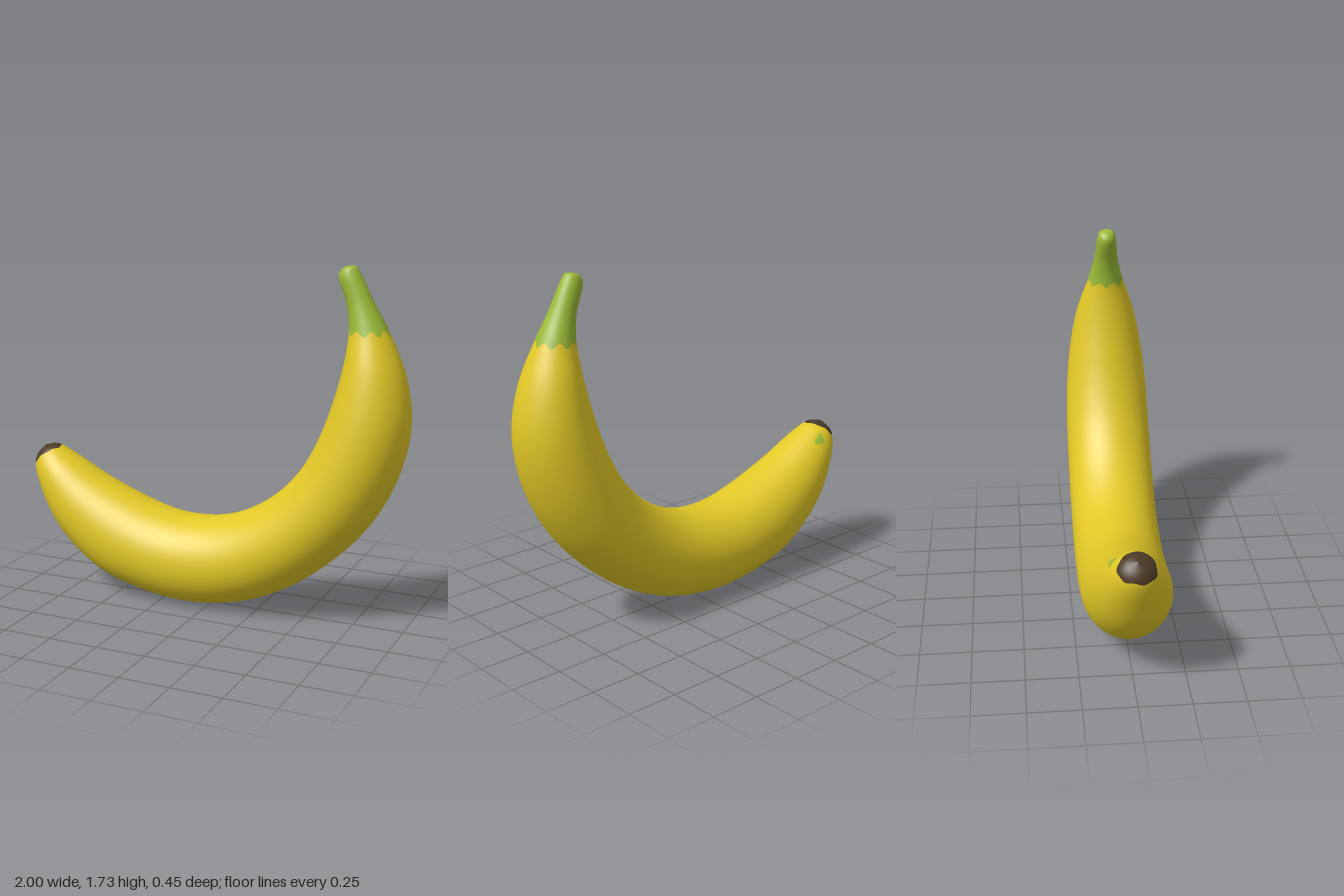
import * as THREE from 'three';

// Cross-sections from blossom tip to stem tip: inner x, y, outer x, y, half thickness in z
const SECTIONS = [
  [-0.955, 0.728, -0.955, 0.728, 0],
  [-0.90, 0.738, -0.993, 0.675, 0.06],
  [-0.865, 0.728, -1.0, 0.63, 0.09],
  [-0.78, 0.685, -0.963, 0.51, 0.135],
  [-0.60, 0.59, -0.85, 0.31, 0.183],
  [-0.40, 0.51, -0.61, 0.11, 0.214],
  [-0.25, 0.465, -0.36, 0.03, 0.222],
  [-0.12, 0.45, -0.11, 0.003, 0.223],
  [0.05, 0.465, 0.16, 0.04, 0.223],
  [0.20, 0.52, 0.41, 0.145, 0.223],
  [0.35, 0.62, 0.65, 0.325, 0.223],
  [0.47, 0.75, 0.83, 0.53, 0.222],
  [0.56, 0.91, 0.95, 0.77, 0.215],
  [0.63, 1.10, 0.997, 1.02, 0.192],
  [0.68, 1.30, 0.963, 1.24, 0.15],
  [0.695, 1.45, 0.88, 1.44, 0.092],
  [0.68, 1.56, 0.805, 1.575, 0.062],
  [0.638, 1.69, 0.735, 1.71, 0.046],
  [0.655, 1.722, 0.72, 1.731, 0.034],
  [0.688, 1.736, 0.688, 1.736, 0],
];
const LAST = SECTIONS.length - 1;
const innerCurve = new THREE.CatmullRomCurve3(SECTIONS.map((s) => new THREE.Vector3(s[0], s[1], s[4])));
const outerCurve = new THREE.CatmullRomCurve3(SECTIONS.map((s) => new THREE.Vector3(s[2], s[3], s[4])));

// Point on the skin: t counts sections, a is the angle around (0 = inside of the bend)
function skinPoint(t, a) {
  const u = THREE.MathUtils.clamp(t / LAST, 0, 1);
  const p = innerCurve.getPoint(u), q = outerCurve.getPoint(u);
  const w = (1 + Math.cos(a)) / 2;
  return new THREE.Vector3(
    q.x + (p.x - q.x) * w,
    q.y + (p.y - q.y) * w,
    (p.z + q.z) / 2 * Math.sin(a)
  );
}

function skinNormal(t, a) {
  const e = 0.02, c = THREE.MathUtils.clamp(t, 2 * e, LAST - 2 * e);
  const dt = skinPoint(c + e, a).sub(skinPoint(c - e, a));
  const da = skinPoint(c, a + e).sub(skinPoint(c, a - e));
  return da.cross(dt).normalize();
}

// Piece of skin; map(u, v) returns [t, angle]
function skinPatch(name, material, rows, cols, map, lift = 0) {
  const pos = [], nor = [], idx = [];
  for (let i = 0; i <= rows; i++) {
    for (let j = 0; j <= cols; j++) {
      const [t, a] = map(i / rows, j / cols);
      const n = skinNormal(t, a);
      pos.push(...skinPoint(t, a).addScaledVector(n, lift).toArray());
      nor.push(...n.toArray());
      if (i < rows && j < cols) {
        const k = i * (cols + 1) + j, m = k + cols + 1;
        idx.push(k, k + 1, m, k + 1, m + 1, m);
      }
    }
  }
  const g = new THREE.BufferGeometry();
  g.setAttribute('position', new THREE.Float32BufferAttribute(pos, 3));
  g.setAttribute('normal', new THREE.Float32BufferAttribute(nor, 3));
  g.setIndex(idx);
  const mesh = new THREE.Mesh(g, material);
  mesh.name = name;
  return mesh;
}

export function createModel() {
  const mat = (name, color) => {
    const m = new THREE.MeshStandardMaterial({ color });
    m.name = name;
    return m;
  };
  const yellow = mat('peel yellow', 0xe2c826);
  const green = mat('stem green', 0x9aba36);
  const brown = mat('tip brown', 0x4c3a26);

  // Ragged colour borders shared by neighbouring pieces
  const tipEdge = (a) => 1.88 + 0.12 * Math.sin(3 * a + 1) + 0.07 * Math.sin(7 * a);
  const stemEdge = (a) => 14.95 - 0.06 * Math.cos(a) + 0.08 * Math.cos(8 * a + 3.14);
  const band = (from, to) => (u, v) => {
    const a = v * Math.PI * 2, f = from(a);
    return [f + (to(a) - f) * u, a];
  };

  const group = new THREE.Group();
  group.name = 'banana';
  group.add(
    skinPatch('blossomTip', brown, 14, 64, band(() => 0, tipEdge)),
    skinPatch('peel', yellow, 90, 64, band(tipEdge, stemEdge)),
    skinPatch('stem', green, 32, 64, band(stemEdge, () => LAST))
  );

  // Small unripe blotch behind the tip
  group.add(skinPatch('unripeBlotch', green, 4, 20, (u, v) => {
    const a = v * Math.PI * 2, r = u * (1 + 0.2 * Math.sin(3 * a));
    return [2.75 + 0.3 * r * Math.cos(a), -0.95 + 0.2 * r * Math.sin(a)];
  }, 0.003));
  return group;
}
